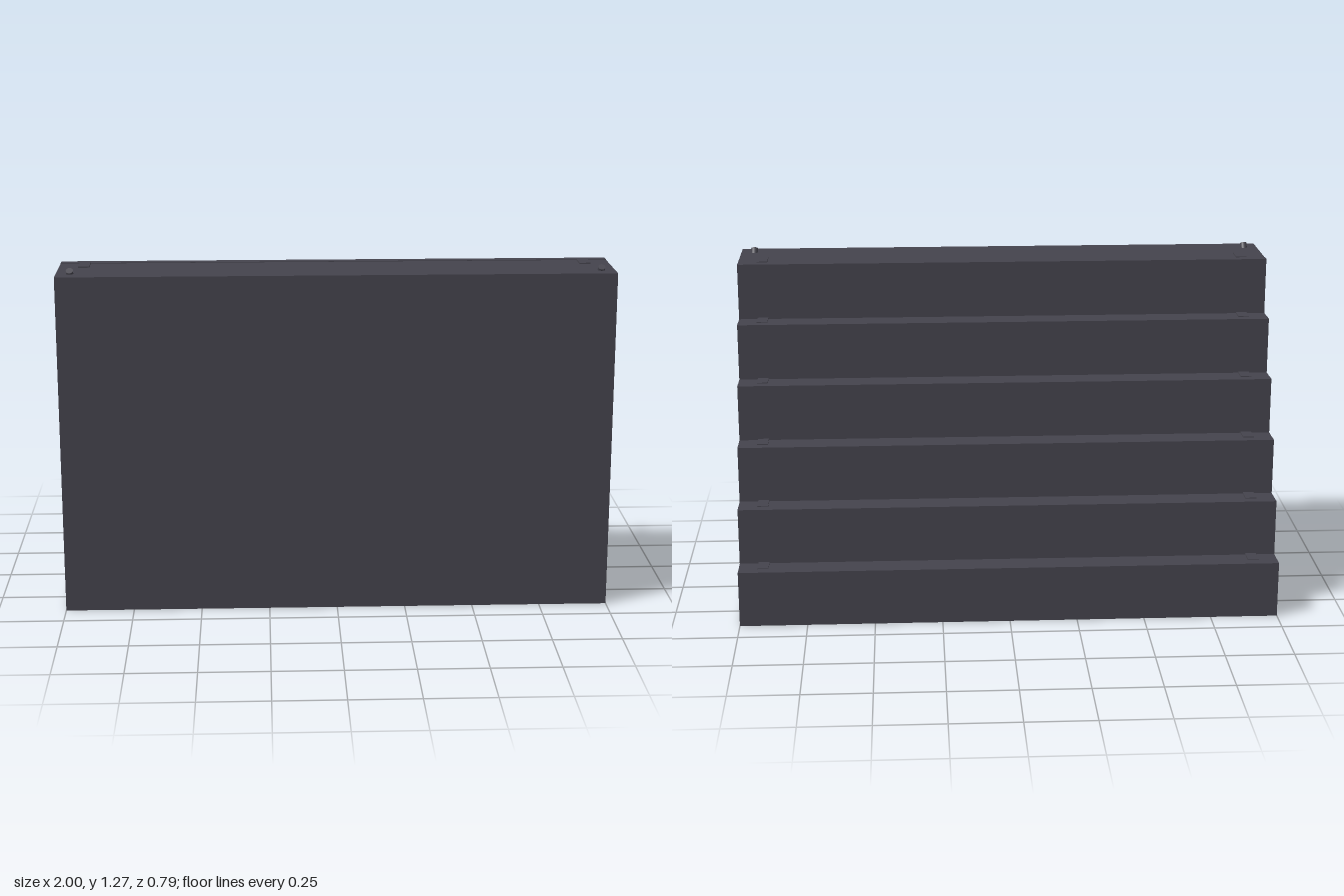
import * as THREE from 'three';

export function createModel() {
  const group = new THREE.Group();
  const charcoal = new THREE.MeshStandardMaterial({ color: 0x44434c });
  charcoal.name = 'charcoal';

  const steps = 6, rise = 1.25 / steps, run = 0.1;
  const back = -0.395, front = 0.395;

  const add = (name, geometry, x, y, z) => {
    const mesh = new THREE.Mesh(geometry, charcoal);
    mesh.name = name;
    mesh.position.set(x, y, z);
    group.add(mesh);
    return mesh;
  };

  // Stair block: the side profile (shape x = -z) extruded across the width
  const profile = new THREE.Shape();
  profile.moveTo(-front, 0);
  profile.lineTo(-back, 0);
  for (let i = 0; i < steps; i++) {
    const edge = -(back + i * run);
    profile.lineTo(edge, (i + 1) * rise);
    profile.lineTo(i < steps - 1 ? edge - run : -front, (i + 1) * rise);
  }
  const block = new THREE.ExtrudeGeometry(profile, { depth: 2, bevelEnabled: false });
  block.translate(0, 0, -1);
  block.rotateY(Math.PI / 2);
  add('stairBlock', block, 0, 0, 0);

  // Thin nosing strip and two raised tabs on every tread
  for (let i = 0; i < steps; i++) {
    const y = (i + 1) * rise;
    const edge = back + i * run;
    add('nosingStrip', new THREE.BoxGeometry(2, 0.002, 0.035), 0, y + 0.001, edge + 0.0175);
    const depth = i < steps - 1 ? 0.065 : 0.08;
    for (const side of [-1, 1]) {
      add('treadTab', new THREE.BoxGeometry(0.04, 0.005, depth),
        side * 0.91, y + 0.0025, edge + 0.035 + depth / 2);
    }
  }

  // Small pegs leaning forward at the front corners of the top
  for (const side of [-1, 1]) {
    const peg = add('cornerPeg', new THREE.CylinderGeometry(0.013, 0.013, 0.03, 16),
      side * 0.95, 1.251, 0.331);
    peg.rotation.x = 0.65;
  }

  return group;
}
